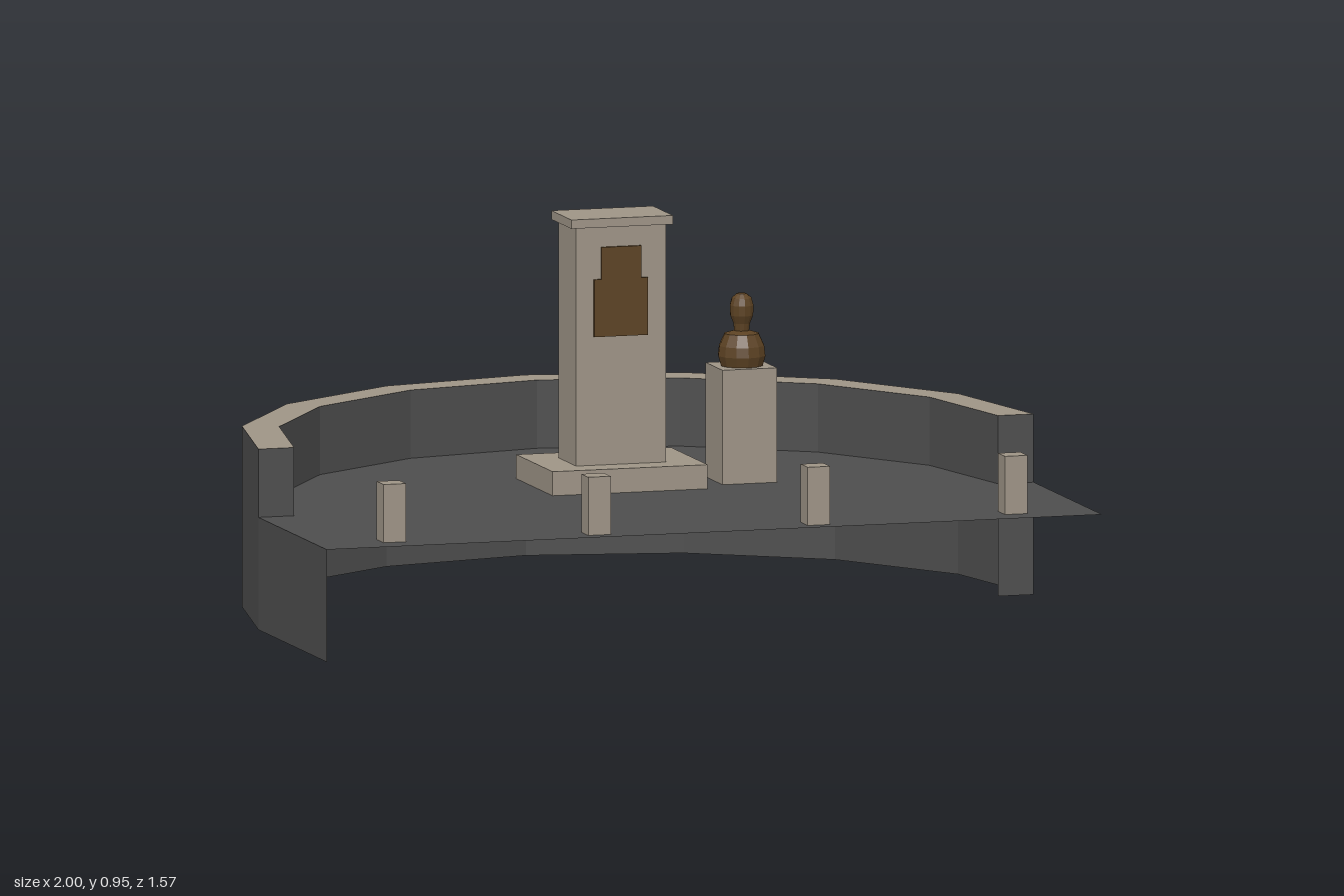
import * as THREE from 'three';

const FLOOR = 0.28, WALL = 0.45, CZ = 0.215, FRONT = 0.784, R_OUT = 1, R_IN = 0.908;

// Flat-faced strip of quads between two rows of points
function strip(a, b) {
  const pos = [];
  for (let i = 0; i < a.length - 1; i++) {
    pos.push(...a[i], ...a[i + 1], ...b[i + 1], ...a[i], ...b[i + 1], ...b[i]);
  }
  const g = new THREE.BufferGeometry();
  g.setAttribute('position', new THREE.Float32BufferAttribute(pos, 3));
  g.computeVertexNormals();
  return g;
}

// Half of a sixteen-sided ring, from +x round the back to -x
function arc(r, y) {
  return Array.from({ length: 9 }, (_, i) => {
    const t = (i / 8) * Math.PI;
    return [r * Math.cos(t), y, CZ - r * Math.sin(t)];
  });
}

export function createModel() {
  const group = new THREE.Group();
  const paving = new THREE.MeshStandardMaterial({ name: 'dark paving', color: 0x4d4d4d, side: THREE.DoubleSide });
  const stone = new THREE.MeshStandardMaterial({ name: 'pale stone', color: 0x9e9486, side: THREE.DoubleSide });
  const bronze = new THREE.MeshStandardMaterial({ name: 'bronze', color: 0x5c4223, flatShading: true });

  const add = (name, geo, mat) => {
    const m = new THREE.Mesh(geo, mat);
    m.name = name;
    group.add(m);
    return m;
  };
  const box = (name, mat, x0, x1, y0, y1, z0, z1) =>
    add(name, new THREE.BoxGeometry(x1 - x0, y1 - y0, z1 - z0), mat)
      .position.set((x0 + x1) / 2, (y0 + y1) / 2, (z0 + z1) / 2);

  // Terrace floor: a single sheet with a rounded back
  const outline = [[-1, FRONT], [1, FRONT], ...arc(R_OUT, 0).map(p => [p[0], p[2]])];
  const floor = new THREE.ShapeGeometry(new THREE.Shape(outline.map(([x, z]) => new THREE.Vector2(x, -z))));
  floor.rotateX(-Math.PI / 2).translate(0, FLOOR, 0);
  add('terraceFloor', floor, paving);

  // Curved wall: outer skin to the ground, inner skin above the floor
  add('wallOuter', strip(arc(R_OUT, 0), arc(R_OUT, WALL)), paving);
  add('wallInner', strip(arc(R_IN, FLOOR).reverse(), arc(R_IN, WALL).reverse()), paving);
  add('wallCoping', strip(arc(R_OUT, WALL), arc(R_IN, WALL)), stone);
  for (const [x0, x1] of [[R_IN, R_OUT], [-R_OUT, -R_IN]]) {
    add('wallEnd', strip([[x0, 0, CZ], [x1, 0, CZ]], [[x0, WALL, CZ], [x1, WALL, CZ]]), paving);
  }

  // Retaining panel on the right side only
  add('sidePanel', strip([[-1, 0, CZ], [-1, 0, FRONT]], [[-1, FLOOR, CZ], [-1, FLOOR, FRONT]]), paving);

  // Monument
  const sunk = FLOOR - 0.001;
  box('monumentBase', stone, -0.2, 0.2, sunk, 0.34, -0.22, 0.083);
  box('monumentShaft', stone, -0.117, 0.115, 0.34, 0.935, -0.135, 0.01);
  box('monumentCap', stone, -0.132, 0.13, 0.933, 0.955, -0.147, 0.02);

  // Stepped plaque on the shaft
  const p = new THREE.Shape([
    [-0.072, 0.66], [0.067, 0.66], [0.067, 0.803], [0.05, 0.803],
    [0.05, 0.883], [-0.053, 0.883], [-0.053, 0.803], [-0.072, 0.803],
  ].map(([x, y]) => new THREE.Vector2(x, y)));
  add('plaque', new THREE.ExtrudeGeometry(p, { depth: 0.007, bevelEnabled: false }), bronze).position.z = 0.01;

  // Bust on its pedestal
  box('bustPedestal', stone, 0.255, 0.396, sunk, 0.565, -0.111, 0.029);
  const profile = [
    [0, 0.565], [0.053, 0.565], [0.06, 0.59], [0.057, 0.615], [0.043, 0.645], [0.019, 0.652],
    [0.021, 0.67], [0.029, 0.69], [0.03, 0.715], [0.025, 0.733], [0.012, 0.744], [0, 0.745],
  ].map(([x, y]) => new THREE.Vector2(x, y));
  add('bust', new THREE.LatheGeometry(profile, 12), bronze).position.set(0.326, 0, -0.041);

  // Bollards along the front edge
  for (const [x, z] of [[-0.803, 0.686], [-0.285, 0.718], [0.281, 0.718], [0.8, 0.686]]) {
    box('bollard', stone, x - 0.029, x + 0.029, sunk, 0.425, z - 0.029, z + 0.029);
  }
  return group;
}
